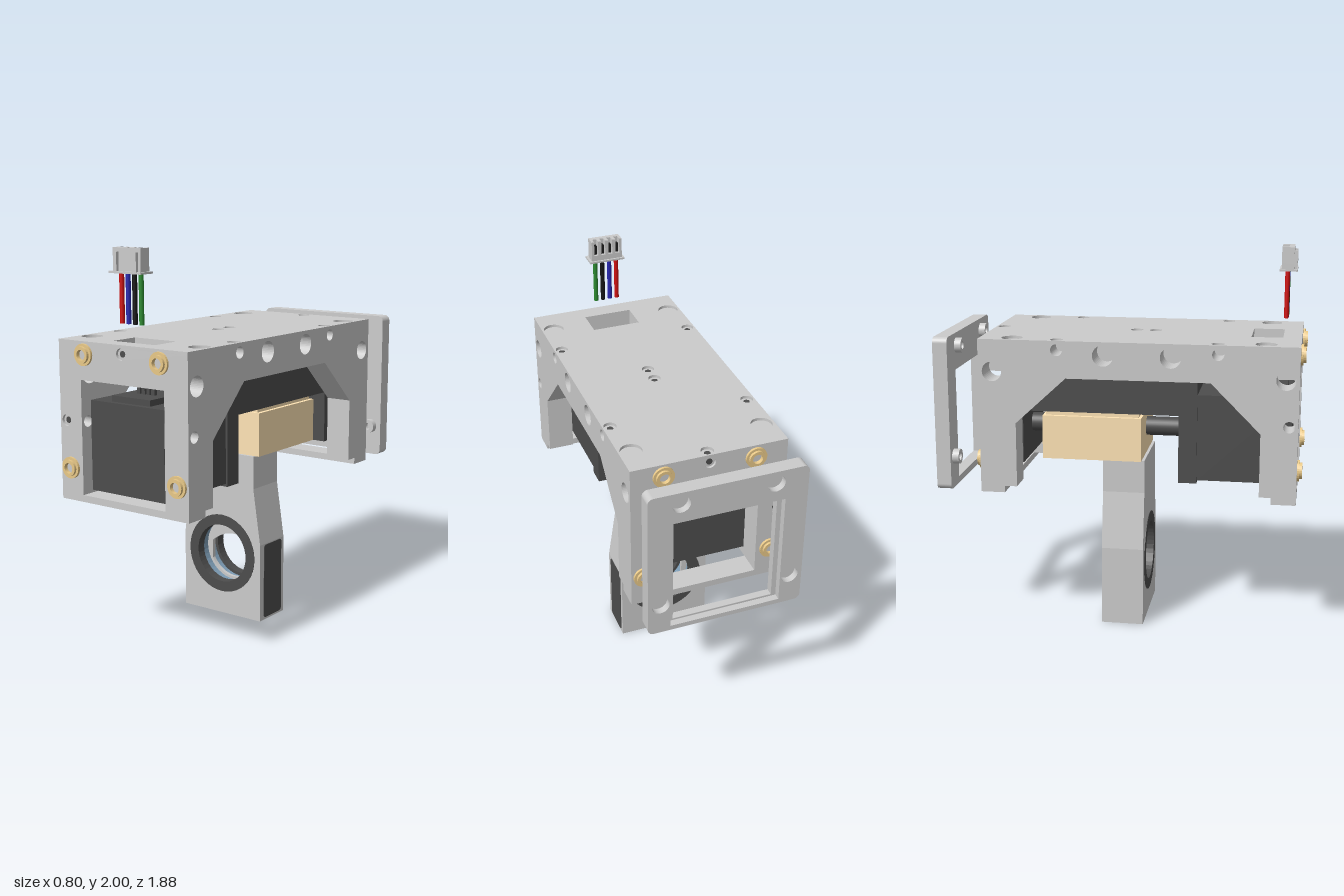
import * as THREE from 'three';

const mat = (color) => new THREE.MeshStandardMaterial({ color });
const grey = mat(0xcccccc), dark = mat(0x4d4d4d), tan = mat(0xffe4b5), brass = mat(0xe8c888);
const blue = mat(0x7f9fb8), black = mat(0x1c1c1c);

function add(parent, name, geo, material = grey) {
  const m = new THREE.Mesh(geo, material);
  m.name = name;
  parent.add(m);
  return m;
}

// Box given by its limits on each axis
function box(parent, name, x0, x1, y0, y1, z0, z1, material) {
  const m = add(parent, name, new THREE.BoxGeometry(x1 - x0, y1 - y0, z1 - z0), material);
  m.position.set((x0 + x1) / 2, (y0 + y1) / 2, (z0 + z1) / 2);
  return m;
}

// Cylinder along an axis, from a to b
function rod(parent, name, axis, r, a, b, x, y, z, material, sides = 32) {
  const g = new THREE.CylinderGeometry(r, r, b - a, sides);
  if (axis === 'z') g.rotateX(Math.PI / 2);
  if (axis === 'x') g.rotateZ(Math.PI / 2);
  const m = add(parent, name, g, material);
  m.position.set(x, y, z);
  m.position[axis] = (a + b) / 2;
  return m;
}

const poly = (pts) => new THREE.Shape(pts.map(([x, y]) => new THREE.Vector2(x, y)));
const rect = (x0, x1, y0, y1) => poly([[x0, y0], [x1, y0], [x1, y1], [x0, y1]]);
const disc = (x, y, r) => new THREE.Shape().absarc(x, y, r, 0, Math.PI * 2);

function roundRect(x0, x1, y0, y1, r) {
  const s = new THREE.Shape(), h = Math.PI / 2;
  s.absarc(x1 - r, y1 - r, r, 0, h);
  s.absarc(x0 + r, y1 - r, r, h, 2 * h);
  s.absarc(x0 + r, y0 + r, r, 2 * h, 3 * h);
  s.absarc(x1 - r, y0 + r, r, 3 * h, 4 * h);
  return s;
}

// Extrusion from a to b. Shapes hold (x,y) for axis z, (x,-z) for axis y, (-z,y) for axis x
function slab(parent, name, shape, holes, axis, a, b, material) {
  shape.holes.push(...holes);
  const g = new THREE.ExtrudeGeometry(shape, { depth: b - a, bevelEnabled: false, curveSegments: 20 });
  if (axis === 'y') g.rotateX(-Math.PI / 2);
  if (axis === 'x') g.rotateY(Math.PI / 2);
  const m = add(parent, name, g, material);
  m.position[axis] = a;
  return m;
}

const fixings = [[-0.235, 1.485], [0.235, 1.485], [-0.335, 0.915], [0.335, 0.915]];

function buildHousing() {
  const g = new THREE.Group();
  g.name = 'housing';
  // Arched cheeks with cross holes
  const arch = [[0.901, 0.75], [0.79, 0.75], [0.79, 0.785], [0.73, 0.785], [0.73, 1.11], [0.48, 1.36],
    [-0.25, 1.36], [-0.51, 1.12], [-0.51, 0.785], [-0.575, 0.785], [-0.575, 0.75], [-0.686, 0.75],
    [-0.686, 1.535], [0.901, 1.535]].map(([z, y]) => [-z, y]);
  const sideHoles = [[0.515, 1.503, 0.03], [-0.295, 1.503, 0.03], [0.87, 1.15, 0.029],
    [0.28, 1.48, 0.053], [-0.06, 1.48, 0.053], [0.85, 1.385, 0.05], [-0.63, 1.385, 0.05]];
  for (const a of [-0.4, 0.26])
    slab(g, 'cheek', poly(arch), sideHoles.map(([z, y, r]) => disc(-z, y, r)), 'x', a, a + 0.14);
  // Roof with cable opening
  const slot = () => rect(-0.13, 0.13, -0.82, -0.66);
  slab(g, 'roof', rect(-0.26, 0.26, -0.901, 0.686), [slot()], 'y', 1.36, 1.535);
  box(g, 'frontSill', -0.26, 0.26, 0.75, 0.785, 0.79, 0.901);
  box(g, 'backSill', -0.26, 0.26, 0.75, 0.785, -0.686, -0.575);
  // Outer skins carrying shallow holes
  const small = [[0, -0.66], [-0.36, -0.3], [0.36, -0.3], [0, 0.055], [0, 0.155], [-0.36, 0.51], [0.36, 0.51]];
  const large = [[-0.335, -0.535], [0.335, -0.535], [-0.335, 0.745], [0.335, 0.745]];
  slab(g, 'topSkin', rect(-0.4, 0.4, -0.915, 0.7), [slot(), ...small.map(([x, z]) => disc(x, -z, 0.032)),
    ...large.map(([x, z]) => disc(x, -z, 0.054))], 'y', 1.535, 1.55);
  for (const [x, z] of small) rod(g, 'screwBore', 'y', 0.016, 1.53, 1.537, x, 0, z, dark, 16);
  for (const [a, end] of [[0.901, 0.903], [-0.7, -0.686]]) {
    const bores = [[-0.36, 1.15], [0, 1.505]];
    slab(g, 'endSkin', rect(-0.4, 0.4, 0.75, 1.535),
      [rect(-0.26, 0.26, 0.785, 1.36), ...bores.map(([x, y]) => disc(x, y, 0.029))], 'z', a, a + 0.014);
    for (const [x, y] of bores) rod(g, 'screwBore', 'z', 0.016, end - 0.003, end, x, y, 0, dark, 16);
  }
  // Threaded inserts on both ends
  const profile = [[0.026, 0], [0.026, 0.025], [0.041, 0.025], [0.041, 0.012], [0.054, 0.012], [0.054, 0]]
    .map(([r, y]) => new THREE.Vector2(r, y)).reverse();
  for (const [z, dir] of [[0.915, 1], [-0.7, -1]])
    for (const [x, y] of fixings) {
      const geo = new THREE.LatheGeometry(profile, 28);
      geo.rotateX(dir * Math.PI / 2);
      const b = brass.clone();
      b.side = THREE.DoubleSide;
      b.flatShading = true;
      add(g, 'insert', geo, b).position.set(x, y, z);
      rod(g, 'insertCore', 'z', 0.026, z - 0.004, z + 0.004, x, y, 0, grey, 20);
    }
  return g;
}

function buildDrive() {
  const g = new THREE.Group();
  g.name = 'drive';
  box(g, 'motor', -0.23, 0.23, 0.81, 1.26, 0.4, 0.88, dark);
  box(g, 'motorSocket', -0.12, 0.12, 1.26, 1.29, 0.62, 0.85, dark);
  for (let i = 0; i < 4; i++)
    box(g, 'motorPin', -0.055 + i * 0.03, -0.035 + i * 0.03, 1.29, 1.36, 0.72, 0.74, dark);
  // Bracket: motor plate, rail and end plate
  box(g, 'motorPlate', -0.24, 0.24, 0.795, 1.36, 0.305, 0.4, dark);
  box(g, 'rail', -0.24, 0.24, 1.15, 1.36, -0.51, 0.305, dark);
  box(g, 'endPlate', -0.24, 0.24, 0.87, 1.36, -0.6, -0.51, dark);
  rod(g, 'leadScrew', 'z', 0.05, -0.51, 0.305, 0, 1.035, 0, dark);
  box(g, 'carriage', -0.23, 0.23, 0.895, 1.125, -0.41, 0.11, tan);
  box(g, 'carriageTop', -0.21, 0.21, 1.125, 1.15, -0.395, 0.095, tan);
  for (const x of [-0.15, 0.15]) rod(g, 'carriageScrew', 'y', 0.02, 0.892, 0.9, x, 0, -0.3, grey, 16);
  return g;
}

function buildArm() {
  const g = new THREE.Group();
  g.name = 'lensArm';
  const cy = 0.335, z0 = -0.095, z1 = 0.125;
  slab(g, 'armBody', poly([[-0.25, 0.02], [0.25, 0.02], [0.25, 0.42], [0.205, 0.72], [0.205, 0.895],
    [-0.205, 0.895], [-0.205, 0.72], [-0.25, 0.42]]), [disc(0, cy, 0.213)], 'z', z0, z1);
  for (const a of [z0 - 0.003, z1 - 0.047])
    slab(g, 'lensRing', disc(0, cy, 0.214), [disc(0, cy, 0.158)], 'z', a, a + 0.05, dark);
  slab(g, 'lensSleeve', disc(0, cy, 0.213), [disc(0, cy, 0.175)], 'z', z0 + 0.04, z1 - 0.04, blue);
  // Stop plate leaving a flat-sided aperture
  const aperture = new THREE.Shape();
  aperture.absarc(0, cy, 0.16, Math.PI + 0.5, Math.PI * 2 - 0.5);
  aperture.lineTo(0.14, 0.36);
  aperture.quadraticCurveTo(0, 0.475, -0.14, 0.36);
  slab(g, 'lensStop', disc(0, cy, 0.18), [aperture], 'z', 0.0, 0.02, grey);
  // Foot with recessed screws, and the side pad
  slab(g, 'foot', rect(-0.25, 0.25, -z1, -z0), [disc(-0.13, -0.015, 0.055), disc(0.13, -0.015, 0.055)], 'y', 0, 0.02);
  for (const x of [-0.13, 0.13]) rod(g, 'footScrew', 'y', 0.036, 0.006, 0.02, x, 0, 0.015, grey, 24);
  slab(g, 'sidePad', roundRect(-0.09, 0.07, 0.012, 0.415, 0.015), [], 'x', 0.25, 0.253, dark);
  return g;
}

function buildBackFrame() {
  const g = new THREE.Group();
  g.name = 'backFrame';
  slab(g, 'frameInner', roundRect(-0.4, 0.4, 0.75, 1.55, 0.03), [rect(-0.26, 0.26, 0.785, 1.36)], 'z', -0.9, -0.86);
  slab(g, 'frameOuter', roundRect(-0.4, 0.4, 0.75, 1.55, 0.03), [rect(-0.285, 0.285, 0.775, 1.385),
    ...fixings.map(([x, y]) => disc(x, y, 0.045))], 'z', -0.936, -0.9);
  for (const [x, y] of fixings)
    slab(g, 'boss', disc(x, y, 0.039), [disc(x, y, 0.02)], 'z', -0.86, -0.825);
  return g;
}

function buildPlug() {
  const g = new THREE.Group();
  g.name = 'cablePlug';
  const xs = [-0.06, -0.02, 0.02, 0.06];
  [0xd01010, 0x2828b0, 0x151515, 0x2c8a30].forEach((c, i) =>
    rod(g, 'wire', 'y', 0.012, 1.64, 1.885, xs[i], 0, 0.83, mat(c), 16));
  box(g, 'plugFlange', -0.098, 0.098, 1.88, 1.89, 0.79, 0.88);
  box(g, 'plugBase', -0.085, 0.085, 1.89, 1.92, 0.8, 0.862);
  // Comb of contact slots open towards the back
  const comb = [[-0.085, -0.862], [0.085, -0.862], [0.085, -0.8]];
  for (const x of [...xs].reverse())
    comb.push([x + 0.011, -0.8], [x + 0.011, -0.835], [x - 0.011, -0.835], [x - 0.011, -0.8]);
  comb.push([-0.085, -0.8]);
  slab(g, 'plugComb', poly(comb), [], 'y', 1.92, 2);
  for (const x of xs) box(g, 'contact', x - 0.008, x + 0.008, 1.92, 1.97, 0.815, 0.834, black);
  for (const s of [-1, 1]) box(g, 'plugRib', s * 0.06 - 0.01, s * 0.06 + 0.01, 1.89, 1.98, 0.862, 0.878);
  return g;
}

export function createModel() {
  const model = new THREE.Group();
  model.name = 'linearStage';
  model.add(buildHousing(), buildDrive(), buildArm(), buildBackFrame(), buildPlug());
  return model;
}
